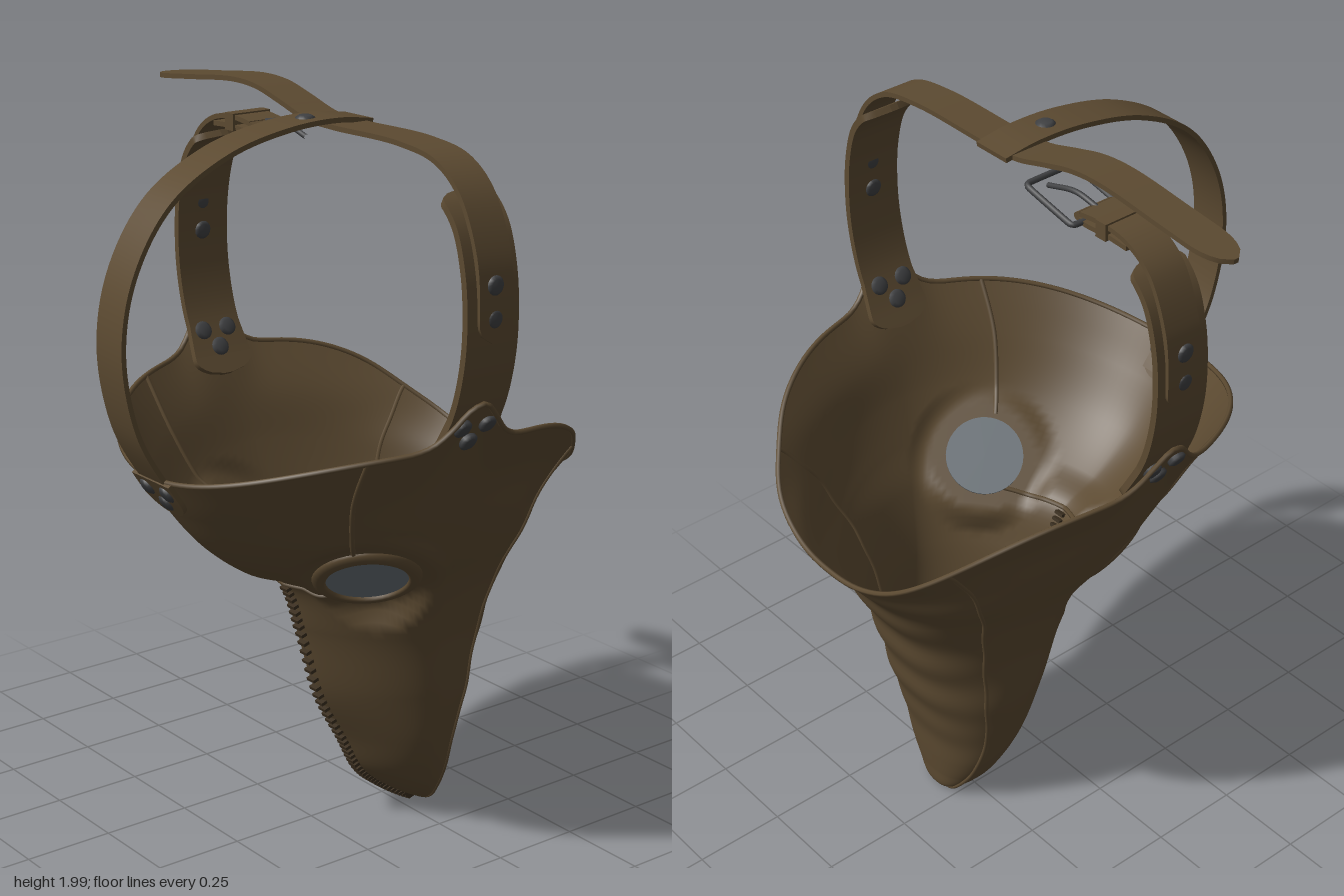
import * as THREE from 'three';
import { ParametricGeometry } from 'three/addons/geometries/ParametricGeometry.js';

const CX = 0.067; // mirror plane of the mask
const V = (x, y, z) => new THREE.Vector3(x, y, z);
const { smoothstep, lerp } = THREE.MathUtils;

export function createModel() {
  const mat = (name, color, side = THREE.FrontSide) => {
    const m = new THREE.MeshStandardMaterial({ color, side });
    m.name = name;
    return m;
  };
  const leather = mat('brown leather', 0x5c4a31, THREE.DoubleSide);
  const thread = mat('dark thread', 0x3a2e1f);
  const metal = mat('dark metal', 0x3f4042);
  const glass = mat('grey glass', 0x687076);

  const root = new THREE.Group();
  root.name = 'beakedMask';
  const add = (name, geometry, material) => {
    const mesh = new THREE.Mesh(geometry, material);
    mesh.name = name;
    root.add(mesh);
    return mesh;
  };

  // Guide lines from beak tip to rim: [frontY, frontZ, sideY, sideZ, halfWidth, backY, backZ]
  const levels = [
    [0.003, -0.3175, 0.003, -0.318, 0.0005, 0.003, -0.3185],
    [0.015, -0.285, 0.02, -0.3, 0.06, 0.012, -0.335],
    [0.075, -0.19, 0.08, -0.265, 0.12, 0.07, -0.343],
    [0.14, -0.115, 0.16, -0.24, 0.165, 0.13, -0.35],
    [0.25, -0.055, 0.27, -0.21, 0.205, 0.22, -0.36],
    [0.4, 0.025, 0.42, -0.2, 0.24, 0.34, -0.39],
    [0.6, 0.085, 0.6, -0.17, 0.268, 0.5, -0.43],
    [0.74, 0.14, 0.76, -0.14, 0.318, 0.66, -0.475],
    [0.79, 0.25, 0.87, -0.1, 0.372, 0.74, -0.515],
    [0.88, 0.37, 0.98, -0.08, 0.422, 0.79, -0.54],
    [1.0, 0.465, 1.1, -0.06, 0.47, 0.865, -0.588],
    [1.11, 0.54, 1.225, -0.05, 0.545, 0.935, -0.65],
  ];
  const guide = (f) => new THREE.CatmullRomCurve3(levels.map(f));
  const front = guide((l) => V(0, l[0], l[1]));
  const side = guide((l) => V(l[4], l[2], l[3]));
  const back = guide((l) => V(0, l[5], l[6]));

  // Eye socket plane on the +x half
  const eye = V(0.247, 0.816, 0.062);
  const eyeN = V(0.6, -0.7, 0.4).normalize();

  // Point on the mask at angle a (0 = front, PI = back) and v from tip to rim
  const skin = (a, v, p = V(0, 0, 0)) => {
    const c = Math.cos(a), s = Math.sin(a), k = Math.abs(c);
    const S = side.getPoint(v), E = (c > 0 ? front : back).getPoint(v);
    const sign = s < 0 ? -1 : 1, nearRim = smoothstep(v, 0.75, 1);
    // the beak has a keel at the front, the brow is round, the back is flatter
    const keel = 1 - smoothstep(v, 0.5, 0.95);
    p.set(S.x * Math.pow(Math.abs(s), c > 0 ? lerp(1, 1.6, keel) : 0.8),
      S.y + (E.y - S.y) * Math.pow(k, 2 + nearRim * (c > 0 ? 1 : 1.4)),
      S.z + (E.z - S.z) * Math.pow(k, c > 0 ? lerp(1, 1.15, keel) : 1));
    // strap tabs rising from the rim, and soft folds under the beak
    const tab = smoothstep(v, 0.86, 1) * Math.exp(-(((p.z + 0.02) / 0.08) ** 2));
    p.y += 0.112 * tab;
    p.x += 0.035 * tab;
    if (c < 0) p.z += 0.0045 * Math.sin(p.y * 42) * c * c * smoothstep(p.y, 0.15, 0.4);
    // flatten around the eye
    const d = p.clone().sub(eye), h = d.dot(eyeN);
    const r = d.addScaledVector(eyeN, -h).length();
    if (Math.abs(h) < 0.12) p.addScaledVector(eyeN, -h * (1 - smoothstep(r, 0.145, 0.21)));
    p.x = CX + sign * p.x;
    return p;
  };
  add('maskShell', new ParametricGeometry((u, v, p) => skin(u * Math.PI * 2, v, p), 128, 88), leather);

  // Rolled rim and raised seams following the skin
  const seam = (name, f, r, closed = false, n = 60) => {
    const pts = Array.from({ length: n + (closed ? 0 : 1) }, (_, i) => f(i / n));
    add(name, new THREE.TubeGeometry(new THREE.CatmullRomCurve3(pts, closed), n * 2, r, 6, closed), leather);
  };
  seam('rim', (t) => skin(t * Math.PI * 2, 1), 0.007, true, 90);
  seam('browSeam', (t) => skin((t - 0.5) * 1.5, 7 / 11), 0.007);
  for (const m of [1, -1]) {
    seam('templeSeam', (t) => skin(m * (0.92 + 0.13 * t), 0.77 + 0.23 * t), 0.007, false, 24);
    seam('beakSeam', (t) => skin(m * (2.12 + 0.42 * t * t), 0.06 + 0.94 * t), 0.006);
  }

  // Stitches down the beak ridge
  for (let i = 0; i < 46; i++) {
    const mesh = add('stitch', new THREE.BoxGeometry(0.03, 0.009, 0.026), thread);
    mesh.position.copy(skin(0, 0.07 + (i / 45) * 0.555));
    mesh.rotation.x = 0.32;
  }

  const up = V(0, 1, 0);
  const aim = (mesh, x, y, z, n) => {
    mesh.position.set(x, y, z);
    mesh.quaternion.setFromUnitVectors(up, n.clone().normalize());
    return mesh;
  };
  const lathe = (pts, n) => new THREE.LatheGeometry(pts.map(([x, y]) => new THREE.Vector2(x, y)), n);
  const rivet = (x, y, z, n, h) => aim(add('rivet', lathe(
    [[0, -h], [0.016, -h], [0.025, 0.006 - h], [0.025, h - 0.006], [0.016, h], [0, h]], 18), metal), x, y, z, n);

  // Eye pieces: padded leather ring and a glass disc
  const ring = [[0.106, 0.002], [0.106, 0.014], [0.112, 0.019], [0.128, 0.017], [0.139, 0.009], [0.141, 0.002]];
  for (const m of [1, -1]) {
    const n = V(m * eyeN.x, eyeN.y, eyeN.z);
    const x = CX + m * eye.x;
    aim(add('eyeRing', lathe(ring, 40), leather), x, eye.y, eye.z, n);
    aim(add('eyeLens', new THREE.CylinderGeometry(0.107, 0.107, 0.018, 40), glass), x, eye.y, eye.z, n);
  }

  // Flat strap bent along a path; taper(t) scales its width
  const strap = (name, pts, axis, width, taper = () => 1, thick = 0.013) => {
    const curve = new THREE.CatmullRomCurve3(pts);
    const g = new THREE.BoxGeometry(1, thick, width, 80, 1, 2);
    const pos = g.attributes.position;
    for (let i = 0; i < pos.count; i++) {
      const t = pos.getX(i) + 0.5;
      const nrm = axis.clone().cross(curve.getTangentAt(t)).normalize();
      const p = curve.getPointAt(t).addScaledVector(nrm, pos.getY(i)).addScaledVector(axis, pos.getZ(i) * taper(t));
      pos.setXYZ(i, p.x, p.y, p.z);
    }
    g.computeVertexNormals();
    return add(name, g, leather);
  };
  const roundEnd = (d) => Math.sqrt(Math.max(0.02, 1 - (1 - Math.min(1, d)) ** 2));
  const zAxis = V(0, 0, 1), xAxis = V(1, 0, 0);

  // Crown strap from forehead to the top
  strap('crownStrap', [[1.03, 0.475], [1.12, 0.545], [1.25, 0.615], [1.45, 0.65], [1.63, 0.615], [1.79, 0.51],
    [1.89, 0.34], [1.935, 0.15], [1.942, 0], [1.93, -0.1]].map(([y, z]) => V(CX, y, z)), xAxis, 0.11);
  strap('foreheadTab', [V(CX, 1.01, 0.475), V(CX, 1.06, 0.51), V(CX, 1.11, 0.543)], xAxis, 0.16,
    (t) => roundEnd(t * 1.8 + 0.05));
  for (const [dx, y, z] of [[-0.042, 1.08, 0.521], [0.042, 1.08, 0.521], [0, 1.042, 0.494]]) {
    rivet(CX + dx, y, z, V(0, -0.55, 0.83), 0.016);
  }
  rivet(CX, 1.943, 0.07, up, 0.012);

  // Wide side straps with rounded flaps inside the rim
  for (const m of [1, -1]) {
    strap('sideStrap', [[0.476, 1.17], [0.516, 1.24], [0.562, 1.34], [0.588, 1.45], [0.594, 1.55], [0.584, 1.66],
      [0.553, 1.76], [0.513, 1.81], [0.478, 1.832]].map(([x, y]) => V(CX + m * x, y, -0.025)), zAxis, 0.16,
    (t) => roundEnd(t * 14) * (1 + 0.2 * Math.max(0, 1 - t * 5)) * roundEnd((1 - t) * 20), 0.018);
    for (const [y, z, x] of [[1.28, 0.017, 0.54], [1.28, -0.062, 0.54], [1.235, -0.022, 0.516]]) {
      rivet(CX + m * x, y, z, V(m * 0.87, -0.48, 0), 0.022);
    }
    for (const y of [1.55, 1.63]) rivet(CX + m * 0.597, y, -0.025, V(m, 0, 0), 0.018);
  }

  // Long strap with a loose tongue, and short strap holding the buckle
  strap('longStrap', [[0.67, 1.49], [0.672, 1.58], [0.658, 1.7], [0.595, 1.835], [0.51, 1.9], [0.375, 1.924],
    [0.11, 1.926], [0, 1.933], [-0.1, 1.96], [-0.2, 1.985], [-0.3, 1.991], [-0.5, 1.972], [-0.69, 1.952]]
    .map(([x, y]) => V(x, y, -0.028)), zAxis, 0.105, (t) => roundEnd((1 - t) * 16) * roundEnd(t * 30));
  strap('shortStrap', [[-0.536, 1.49], [-0.538, 1.58], [-0.524, 1.7], [-0.465, 1.83], [-0.39, 1.88], [-0.3, 1.892],
    [-0.23, 1.885]].map(([x, y]) => V(x, y, -0.028)), zAxis, 0.105, (t) => roundEnd(t * 14));
  strap('strapFold', [V(-0.23, 1.885, -0.028), V(-0.215, 1.875, -0.028), V(-0.24, 1.865, -0.028),
    V(-0.32, 1.868, -0.028), V(-0.39, 1.865, -0.028)], zAxis, 0.105);

  // Keeper loop around the short strap
  const keeper = add('strapKeeper', new THREE.BoxGeometry(0.035, 0.045, 0.12), leather);
  keeper.position.set(-0.31, 1.88, -0.028);

  // Wire buckle frame with its prong
  const frame = [[-0.235, 0.03], [-0.225, 0.042], [-0.08, 0.042], [-0.066, 0.03], [-0.066, -0.095], [-0.08, -0.108],
    [-0.225, -0.108], [-0.235, -0.095]].map(([x, z]) => V(x, 1.885 + 0.22 * (x + 0.15), z));
  add('buckleFrame', new THREE.TubeGeometry(new THREE.CatmullRomCurve3(frame, true, 'catmullrom', 0.15), 80, 0.008, 8, true), metal);
  add('buckleProng', new THREE.TubeGeometry(new THREE.CatmullRomCurve3(
    [V(-0.24, 1.885, -0.03), V(-0.16, 1.895, -0.03), V(-0.06, 1.87, -0.03)]), 16, 0.007, 8), metal);

  return root;
}
